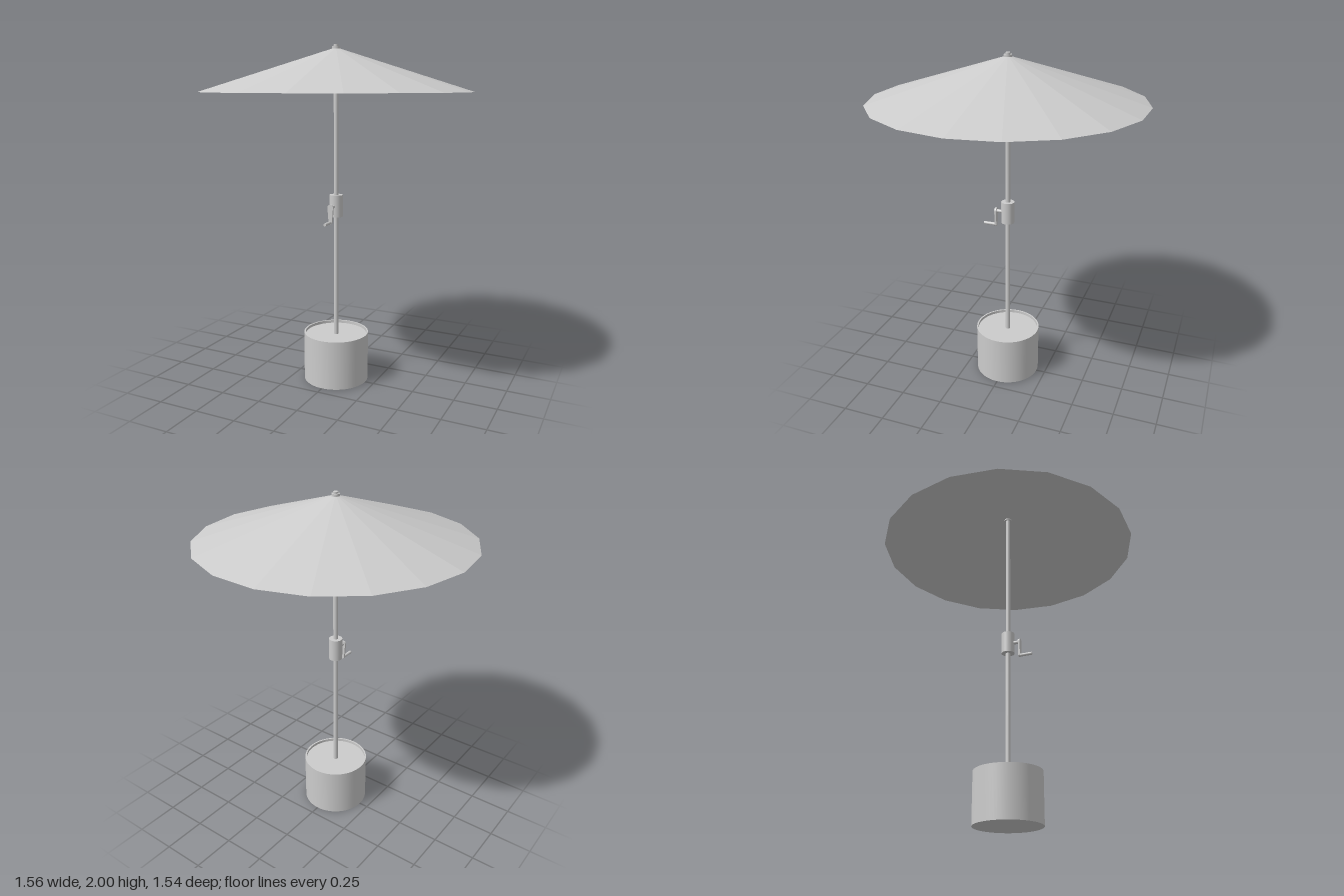
import * as THREE from 'three';

const V = (x, y) => new THREE.Vector2(x, y);
const grey = (opts = {}) => new THREE.MeshStandardMaterial({ color: 0xcccccc, ...opts });

export function createModel() {
  const group = new THREE.Group();
  const smooth = grey();
  const add = (name, geometry, material = smooth) => {
    const mesh = new THREE.Mesh(geometry, material);
    mesh.name = name;
    group.add(mesh);
    return mesh;
  };
  // upright cylinder between two heights
  const post = (name, r, y0, y1, sides) =>
    add(name, new THREE.CylinderGeometry(r, r, y1 - y0, sides).translate(0, (y0 + y1) / 2, 0));
  // cylinder along z, placed at a height
  const rod = (name, r, y, z0, z1) =>
    add(name, new THREE.CylinderGeometry(r, r, z1 - z0, 16).rotateX(Math.PI / 2).translate(0, y, (z0 + z1) / 2));

  // base drum with a thin rim standing around a recessed top;
  // repeated points keep the corners sharp
  const drum = [[0, 0], [0.195, 0], [0.195, 0], [0.195, 0.297], [0.195, 0.297],
    [0.186, 0.297], [0.186, 0.297], [0.186, 0.28], [0.186, 0.28], [0, 0.28]];
  add('base', new THREE.LatheGeometry(drum.map(p => V(...p)), 64));

  post('pole', 0.014, 0.275, 1.975, 24);

  // open canopy of eighteen flat panels
  const canopy = new THREE.ConeGeometry(0.78, 0.247, 18, 1, true);
  canopy.rotateY(0.146).translate(0, 1.737 + 0.1235, 0);
  add('canopy', canopy, grey({ flatShading: true, side: THREE.DoubleSide }));

  // stepped cap through the canopy's peak
  post('canopyHub', 0.023, 1.968, 1.99, 24);
  post('finial', 0.014, 1.988, 2.0, 24);

  // crank housing and its handle on the front
  post('crankHousing', 0.039, 1.012, 1.142, 32);
  rod('crankAxle', 0.01, 1.076, 0.03, 0.075);
  const arm = new THREE.Shape();
  arm.absarc(0, 1.077, 0.018, 0, Math.PI, false);
  arm.absarc(0, 0.989, 0.011, Math.PI, Math.PI * 2, false);
  add('crankArm', new THREE.ExtrudeGeometry(arm, { depth: 0.011, bevelEnabled: false, curveSegments: 12 })
    .translate(0, 0, 0.069));
  rod('crankGrip', 0.009, 0.988, 0.075, 0.15);

  return group;
}
